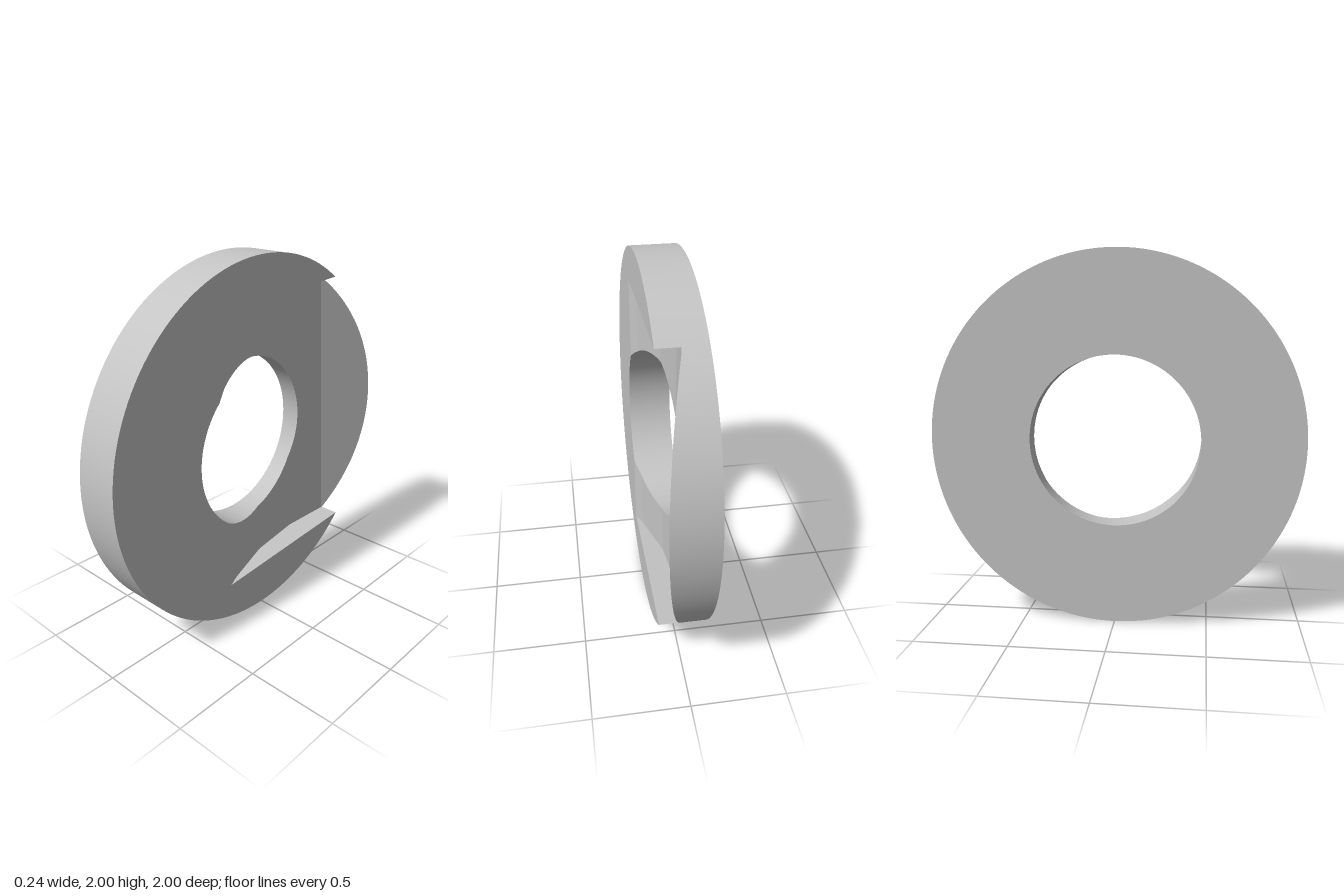
import * as THREE from 'three';

// Local frame: x runs along the ramp, y across it, z is the washer's axis.
const OUTER = 1, INNER = 0.457, HALF = 0.12, SEGMENTS = 144;
const SLOT_TOP = 0.77, SLOT_BOTTOM = -0.746, TILT = 0.066;
// Faceted floor of the slot: [position along ramp, depth below the face]
const FLOOR = [[-0.303, 0], [-0.23, 0.03], [0.06, 0.113], [0.37, 0.14], [0.66, 0.113], [1.01, 0]];

// Keep the part of a convex polygon where a*x + b*y <= c
function clip(poly, [a, b, c]) {
  const out = [];
  poly.forEach((p, i) => {
    const q = poly[(i + 1) % poly.length];
    const dp = a * p[0] + b * p[1] - c, dq = a * q[0] + b * q[1] - c;
    if (dp <= 0) out.push(p);
    if (dp * dq < 0) {
      const t = dp / (dp - dq);
      out.push([p[0] + t * (q[0] - p[0]), p[1] + t * (q[1] - p[1])]);
    }
  });
  return out;
}

function depthAt(x) {
  for (let i = 1; i < FLOOR.length; i++) {
    const [x0, d0] = FLOOR[i - 1], [x1, d1] = FLOOR[i];
    if (x <= x1) return d0 + (d1 - d0) * (x - x0) / (x1 - x0);
  }
  return 0;
}

function toGeometry({ pos, nor }) {
  const g = new THREE.BufferGeometry();
  g.setAttribute('position', new THREE.Float32BufferAttribute(pos, 3));
  g.setAttribute('normal', new THREE.Float32BufferAttribute(nor, 3));
  return g;
}

export function createModel() {
  const steel = new THREE.MeshStandardMaterial({ color: 0xc4c4c4, side: THREE.DoubleSide });
  steel.name = 'light grey';
  const washer = new THREE.Group();
  washer.name = 'washer';
  const add = (geometry, name) => {
    const mesh = new THREE.Mesh(geometry, steel);
    mesh.name = name;
    washer.add(mesh);
    return mesh;
  };

  // Zones of the front face: flat surroundings, then one strip per floor facet
  const within = [[0, 1, SLOT_TOP], [0, -1, -SLOT_BOTTOM]];
  const start = FLOOR[0][0];
  const zones = [
    { planes: [[0, -1, -SLOT_TOP]], flat: true },
    { planes: [[0, 1, SLOT_BOTTOM]], flat: true },
    { planes: [...within, [1, 0, start]], flat: true },
  ];
  for (let i = 1; i < FLOOR.length; i++) {
    const [x0, d0] = FLOOR[i - 1], [x1, d1] = FLOOR[i];
    zones.push({
      planes: [...within, [-1, 0, -x0], [1, 0, x1]],
      normal: new THREE.Vector3(d1 - d0, 0, x1 - x0).normalize().toArray(),
    });
  }

  const face = { pos: [], nor: [] }, ramp = { pos: [], nor: [] };
  const rim = { pos: [], nor: [] }, bore = { pos: [], nor: [] };
  const near = Math.cos(Math.PI / SEGMENTS);

  for (let s = 0; s < SEGMENTS; s++) {
    const a = s / SEGMENTS * Math.PI * 2, b = (s + 1) / SEGMENTS * Math.PI * 2;
    const at = (r, t) => [r * Math.cos(t), r * Math.sin(t)];
    const sector = [at(INNER, a), at(OUTER, a), at(OUTER, b), at(INNER, b)];
    for (const zone of zones) {
      const poly = zone.planes.reduce(clip, sector);
      if (poly.length < 3) continue;
      const height = (p) => HALF - (zone.flat ? 0 : depthAt(p[0]));

      // Surface of the face or floor
      const surface = zone.flat ? face : ramp;
      for (let i = 1; i < poly.length - 1; i++) {
        for (const p of [poly[0], poly[i], poly[i + 1]]) {
          surface.pos.push(p[0], p[1], height(p));
          surface.nor.push(...(zone.normal || [0, 0, 1]));
        }
      }

      // Smooth outer and inner walls beneath the edges on the circles
      poly.forEach((p, i) => {
        const q = poly[(i + 1) % poly.length];
        const rp = Math.hypot(...p), rq = Math.hypot(...q);
        const outer = Math.min(rp, rq) > OUTER * near - 1e-6;
        const inner = Math.max(rp, rq) < INNER + 1e-6;
        if (!outer && !inner) return;
        const wall = outer ? rim : bore, sign = outer ? 1 : -1;
        const corners = [[p, -HALF], [q, -HALF], [q, height(q)], [p, height(p)]];
        for (const k of [0, 1, 2, 0, 2, 3]) {
          const [c, z] = corners[k], r = Math.hypot(...c);
          wall.pos.push(c[0], c[1], z);
          wall.nor.push(sign * c[0] / r, sign * c[1] / r, 0);
        }
      });
    }
  }
  add(toGeometry(face), 'frontFace');
  add(toGeometry(ramp), 'rampFloor');
  add(toGeometry(rim), 'outerRim');
  add(toGeometry(bore), 'centreHole');

  // Plain face on the other side
  const back = add(new THREE.RingGeometry(INNER, OUTER, SEGMENTS), 'backFace');
  back.rotation.x = Math.PI;
  back.position.z = -HALF;

  // Side walls of the slot, ending at the rim
  for (const [y, name] of [[SLOT_TOP, 'upperSlotWall'], [SLOT_BOTTOM, 'lowerSlotWall']]) {
    const end = Math.sqrt(OUTER * OUTER - y * y);
    const points = FLOOR.filter(([x]) => x < end).map(([x, d]) => new THREE.Vector2(x, HALF - d));
    points.push(new THREE.Vector2(end, HALF - depthAt(end)), new THREE.Vector2(end, HALF));
    const wall = add(new THREE.ShapeGeometry(new THREE.Shape(points)), name);
    wall.rotation.x = Math.PI / 2;
    wall.position.y = y;
  }

  // Stand the washer upright with its ramp facing +x
  washer.rotation.set(0, Math.PI / 2, TILT);
  washer.position.y = 1;
  const model = new THREE.Group();
  model.name = 'rampedWasher';
  model.add(washer);
  return model;
}
